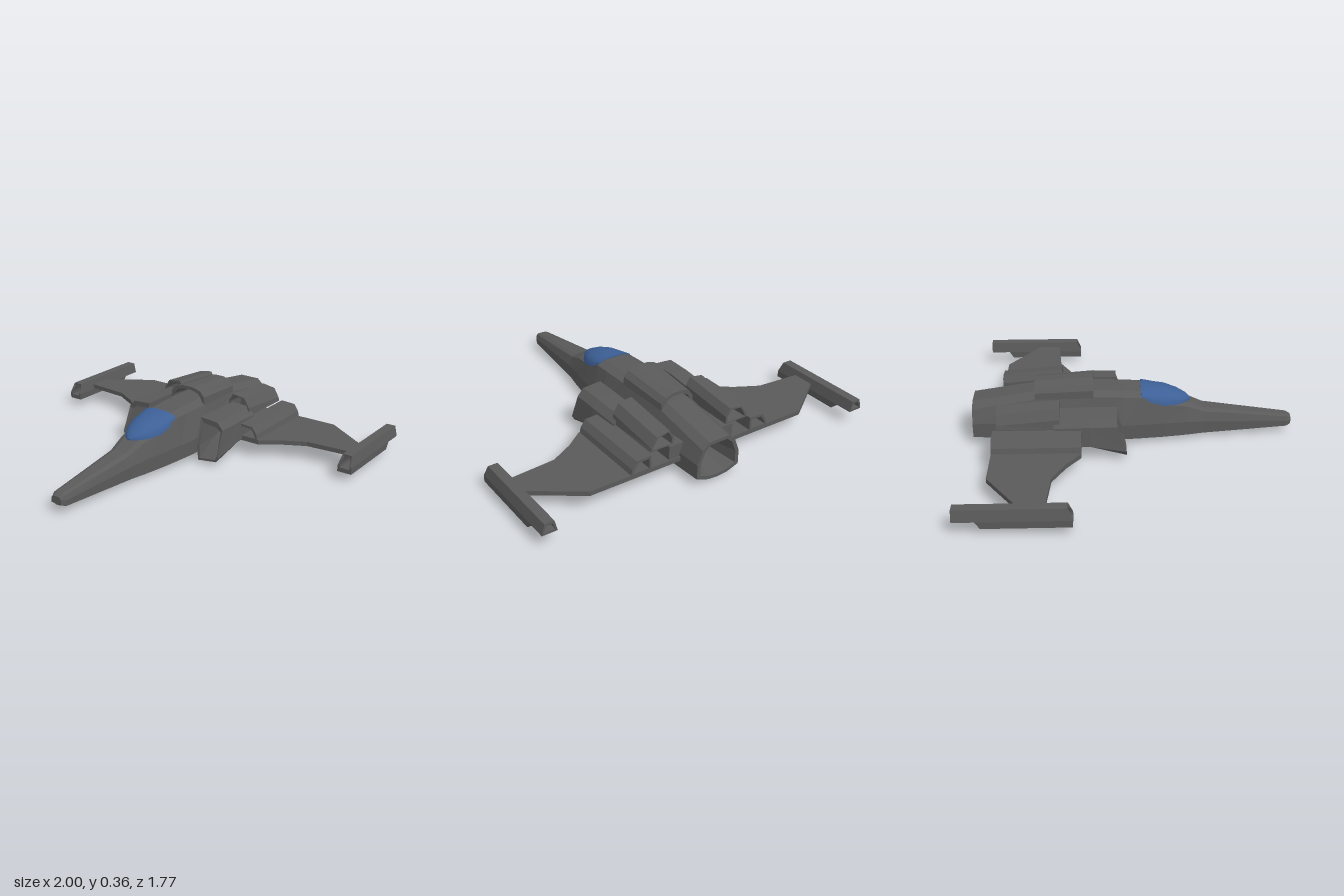
import * as THREE from 'three';
import { toCreasedNormals } from 'three/addons/utils/BufferGeometryUtils.js';

const hullMat = new THREE.MeshStandardMaterial({ color: 0x5a5a5a, flatShading: true });
const glassMat = new THREE.MeshStandardMaterial({ color: 0x3d6097 });

// Skins a list of equal-length rings; either caps the ends or joins last to first.
function loft(rings, closed = false) {
  const R = rings.map(r => r.map(p => new THREE.Vector3(...p)));
  const n = R[0].length, tris = [];
  const tri = (a, b, c) => {
    const area = b.clone().sub(a).cross(c.clone().sub(a)).length();
    if (area > 1e-9) tris.push([a, b, c]);
  };
  const spans = closed ? R.length : R.length - 1;
  for (let i = 0; i < spans; i++) {
    const A = R[i], B = R[(i + 1) % R.length];
    for (let j = 0; j < n; j++) {
      const k = (j + 1) % n;
      tri(A[j], A[k], B[k]);
      tri(A[j], B[k], B[j]);
    }
  }
  if (!closed) {
    const cap = (r, flip) => {
      const c = r.reduce((s, p) => s.add(p), new THREE.Vector3()).divideScalar(n);
      r.forEach((p, j) => flip ? tri(c, r[(j + 1) % n], p) : tri(c, p, r[(j + 1) % n]));
    };
    cap(R[0], true);
    cap(R[R.length - 1], false);
  }
  // Turn the skin outwards whichever way the rings run.
  const volume = tris.reduce((s, [a, b, c]) => s + a.dot(b.clone().cross(c)), 0);
  const pos = tris.flatMap(([a, b, c]) => (volume < 0 ? [a, c, b] : [a, b, c]).flatMap(p => p.toArray()));
  const g = new THREE.BufferGeometry();
  g.setAttribute('position', new THREE.Float32BufferAttribute(pos, 3));
  g.computeVertexNormals();
  return g;
}

// Hollow duct: outer skin front to back, then inner skin back to front.
function duct(outer, inner, stations) {
  const out = stations.map(f => outer.map(([x, y]) => f(x, y, 0)));
  const inn = stations.map(f => inner.map(([x, y]) => f(x, y, 0.022)));
  return loft([...out, ...inn.reverse()], true);
}

// Shrinks a ring about its centre and moves it to depth z.
function inset(ring, k, z) {
  const cx = ring.reduce((s, p) => s + p[0], 0) / ring.length;
  const cy = ring.reduce((s, p) => s + p[1], 0) / ring.length;
  return ring.map(([x, y]) => [cx + (x - cx) * k, cy + (y - cy) * k, z]);
}

const mirrorRing = half => [...half, ...half.slice(1, -1).reverse().map(([x, ...r]) => [-x, ...r])];

export function createModel() {
  const model = new THREE.Group();
  const add = (name, geo, mat = hullMat) => {
    const m = new THREE.Mesh(geo, mat);
    m.name = name;
    model.add(m);
    return m;
  };

  // Fuselage: z, keel y, keel width, chine y, side width, side y, shoulder width, shoulder y, top y
  const hull = [
    [0.885, 0.05, 0.015, 0.055, 0.033, 0.08, 0.025, 0.09, 0.095],
    [0.86, 0.035, 0.025, 0.045, 0.045, 0.075, 0.036, 0.1, 0.107],
    [0.39, 0.018, 0.05, 0.03, 0.083, 0.1, 0.064, 0.155, 0.167],
    [0.3, 0.014, 0.06, 0.03, 0.102, 0.11, 0.075, 0.19, 0.205],
    [0.17, 0.01, 0.07, 0.032, 0.126, 0.115, 0.1, 0.218, 0.225],
    [0.04, 0.006, 0.08, 0.036, 0.147, 0.12, 0.11, 0.268, 0.288],
    [-0.06, 0.004, 0.085, 0.04, 0.163, 0.125, 0.113, 0.272, 0.294],
    [-0.22, 0.004, 0.085, 0.042, 0.156, 0.13, 0.115, 0.276, 0.3],
    [-0.54, 0.012, 0.075, 0.045, 0.143, 0.14, 0.1, 0.262, 0.293],
    [-0.885, 0.02, 0.06, 0.05, 0.13, 0.13, 0.1, 0.205, 0.24],
  ].map(([z, yb, wb, y1, wm, y2, wt, y3, yt]) => mirrorRing([
    [0, yb, z], [wb, yb + 0.005, z], [wm, y1, z], [wm, y2, z], [wt, y3, z], [wt * 0.6, yt, z], [0, yt, z]]));
  // Recessed tail nozzle closes the rear of the hull
  const tail = hull[hull.length - 1];
  add('fuselage', loft([...hull, inset(tail, 0.84, -0.885), inset(tail, 0.55, -0.72)]));

  // Canopy: z, half width, base y, height
  const canopy = [
    [0.315, 0.012, 0.205, 0.01], [0.29, 0.045, 0.205, 0.032], [0.24, 0.08, 0.207, 0.056],
    [0.17, 0.105, 0.213, 0.074], [0.1, 0.11, 0.235, 0.06], [0.04, 0.107, 0.268, 0.03],
  ].map(([z, w, y, h]) => Array.from({ length: 11 }, (_, i) => {
    const a = Math.PI * i / 10;
    return [w * Math.cos(a), y + h * Math.pow(Math.sin(a), 0.8), z];
  }));
  add('canopy', toCreasedNormals(loft(canopy), 0.7), glassMat);

  // Open air scoop on the spine
  const arch = (w, base, top) => [[-w, base], [-w * 0.95, top - 0.045], [-w * 0.72, top - 0.014], [-w * 0.3, top],
    [w * 0.3, top], [w * 0.72, top - 0.014], [w * 0.95, top - 0.045], [w, base]];
  add('spineScoop', duct(arch(0.118, 0.255, 0.36), arch(0.1, 0.27, 0.342), [
    (x, y) => [x, y, -0.22],
    (x, y) => [x * 0.87, y - 0.02, -0.54],
  ]));

  for (const s of [1, -1]) {
    const side = s > 0 ? 'left' : 'right';

    // Swept wing plate
    const wing = new THREE.Shape([[0.08, -0.285], [0.44, -0.285], [0.54, -0.36], [0.67, -0.43], [0.925, -0.45],
      [0.925, -0.575], [0.665, -0.755], [0.08, -0.755]].map(([x, z]) => new THREE.Vector2(x * s, z)));
    const plate = new THREE.ExtrudeGeometry(wing, { depth: 0.025, bevelEnabled: false });
    add(side + 'Wing', plate.rotateX(Math.PI / 2).translate(0, 0.115, 0));

    // Root block joining hull and engine
    const root = new THREE.BoxGeometry(0.1, 0.095, 0.465);
    add(side + 'WingRoot', root.translate(s * 0.15, 0.143, -0.515));

    // Intake: raked open mouth, floor ramping up to the wing
    const lip = y => y < 0.065 ? -0.045 : y < 0.2 ? -0.045 - (y - 0.065) * 0.4 : -0.095;
    add(side + 'Intake', duct(
      [[0.2, 0.018], [0.32, 0.034], [0.335, 0.06], [0.325, 0.205], [0.29, 0.245], [0.182, 0.253], [0.182, 0.1]],
      [[0.21, 0.032], [0.312, 0.045], [0.322, 0.07], [0.312, 0.195], [0.28, 0.215], [0.2, 0.222], [0.2, 0.1]],
      [
        (x, y) => [s * x, y, lip(y)],
        (x, y, t) => [s * x, Math.max(y, 0.096 + t), -0.24],
        (x, y, t) => [s * (x - 0.008), Math.max(y - 0.008, 0.096 + t), -0.43],
      ]));

    // Engine pod above the wing, recessed at both ends
    const pod = (z, drop) => [[0.165, 0.19], [0.305, 0.19], [0.3, 0.24], [0.268, 0.293], [0.19, 0.305], [0.165, 0.262]]
      .map(([x, y]) => [s * x, y - (y > 0.2 ? drop : 0), z]);
    const front = pod(-0.4, 0), back = pod(-0.735, 0.03);
    add(side + 'EnginePod', loft([inset(front, 0.75, -0.5), inset(front, 0.84, -0.4), front,
      back, inset(back, 0.82, -0.735), inset(back, 0.7, -0.64)]));

    // Hollow fairing along the wing
    add(side + 'WingFairing', duct(
      [[0.312, 0.1], [0.436, 0.1], [0.425, 0.145], [0.398, 0.183], [0.312, 0.188]],
      [[0.325, 0.118], [0.418, 0.118], [0.41, 0.142], [0.39, 0.17], [0.325, 0.174]],
      [(x, y) => [s * x, y, -0.285], (x, y) => [s * x, y, -0.755]]));

    // Wingtip tube with its lower rear cut away
    add(side + 'WingtipPod', duct(
      [[0.918, 0.048], [1, 0.048], [1, 0.085], [0.985, 0.144], [0.933, 0.144], [0.918, 0.085]],
      [[0.93, 0.072], [0.988, 0.072], [0.988, 0.09], [0.976, 0.131], [0.942, 0.131], [0.93, 0.09]],
      [
        (x, y) => [s * x, y, y > 0.1 ? -0.338 : -0.315],
        (x, y) => [s * x, y, -0.75],
        (x, y, t) => [s * x, Math.max(y, 0.085 + t * 0.5), -0.775],
        (x, y, t) => [s * x, Math.max(y, 0.085 + t * 0.5), -0.885],
      ]));
  }
  return model;
}
